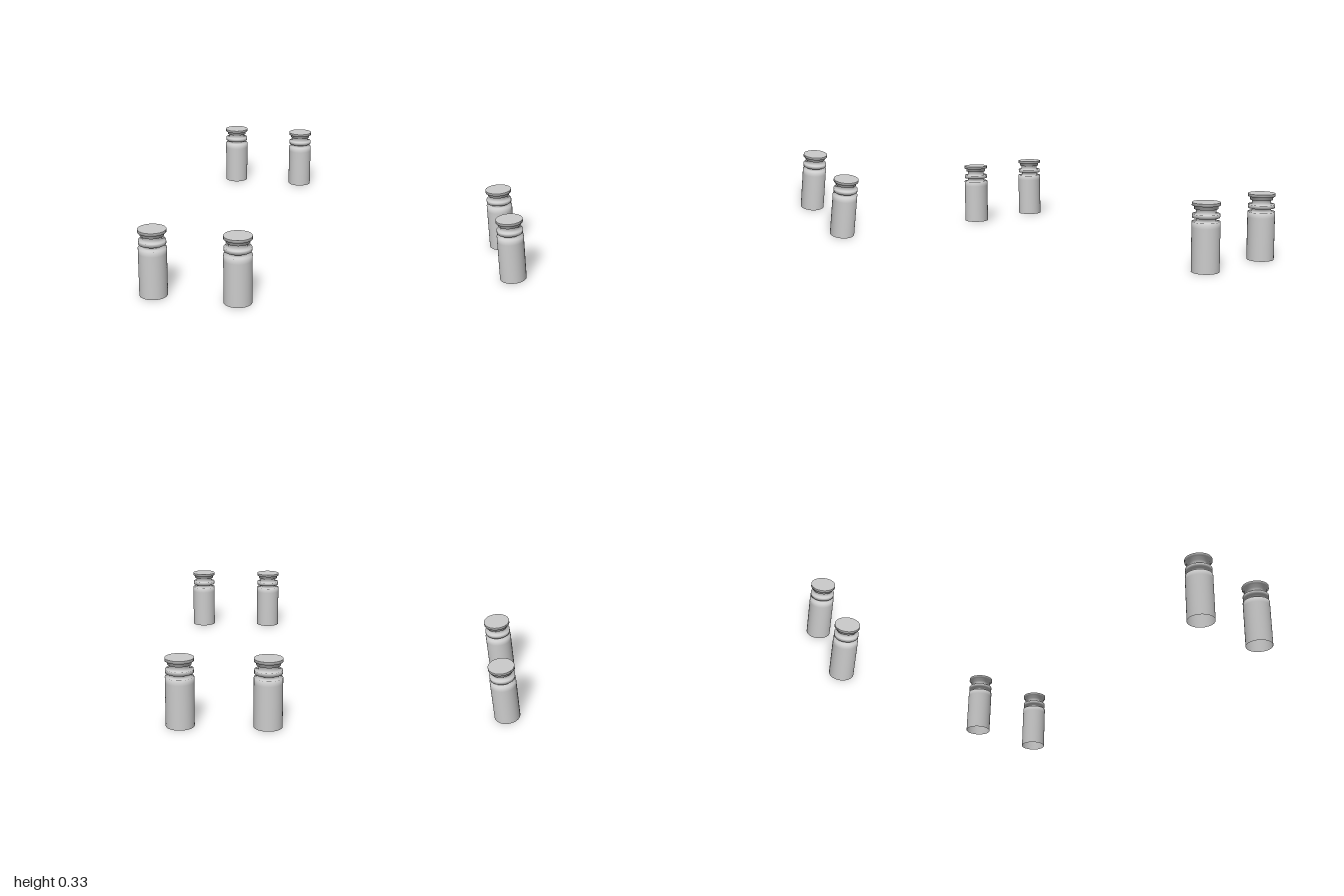
import * as THREE from 'three';

const SEGMENTS = 48;
const CAP_RADIUS = 0.068;
const HEIGHT = 0.333;

// Radius and height pairs from the open base up to the cap rim
const PROFILE = [
  [0.068, 0], [0.068, 0.215], [0.068, 0.242],   // body
  [0.047, 0.242], [0.047, 0.261],               // lower neck
  [0.066, 0.261], [0.066, 0.279],               // collar
  [0.047, 0.279], [0.047, 0.302],               // upper neck
  [0.057, 0.302], [0.057, 0.319],               // step under the cap
  [CAP_RADIUS, 0.319], [CAP_RADIUS, HEIGHT],    // cap
].map(([r, y]) => new THREE.Vector2(r, y));

export function createModel() {
  const model = new THREE.Group();
  model.name = 'posts';
  const material = new THREE.MeshStandardMaterial({ color: 0xcccccc, side: THREE.DoubleSide });

  const bodyGeometry = new THREE.LatheGeometry(PROFILE, SEGMENTS);
  const topGeometry = new THREE.CircleGeometry(CAP_RADIUS, SEGMENTS).rotateX(-Math.PI / 2);

  // One post near each corner
  for (const [zName, z] of [['front', 0.932], ['back', -0.932]]) {
    for (const [xName, x] of [['Left', 0.205], ['Right', -0.205]]) {
      const post = new THREE.Group();
      post.name = `${zName}${xName}Post`;
      post.position.set(x, 0, z);

      const body = new THREE.Mesh(bodyGeometry, material);
      body.name = 'postBody';

      const top = new THREE.Mesh(topGeometry, material);
      top.name = 'capTop';
      top.position.y = HEIGHT;

      post.add(body, top);
      model.add(post);
    }
  }
  return model;
}
